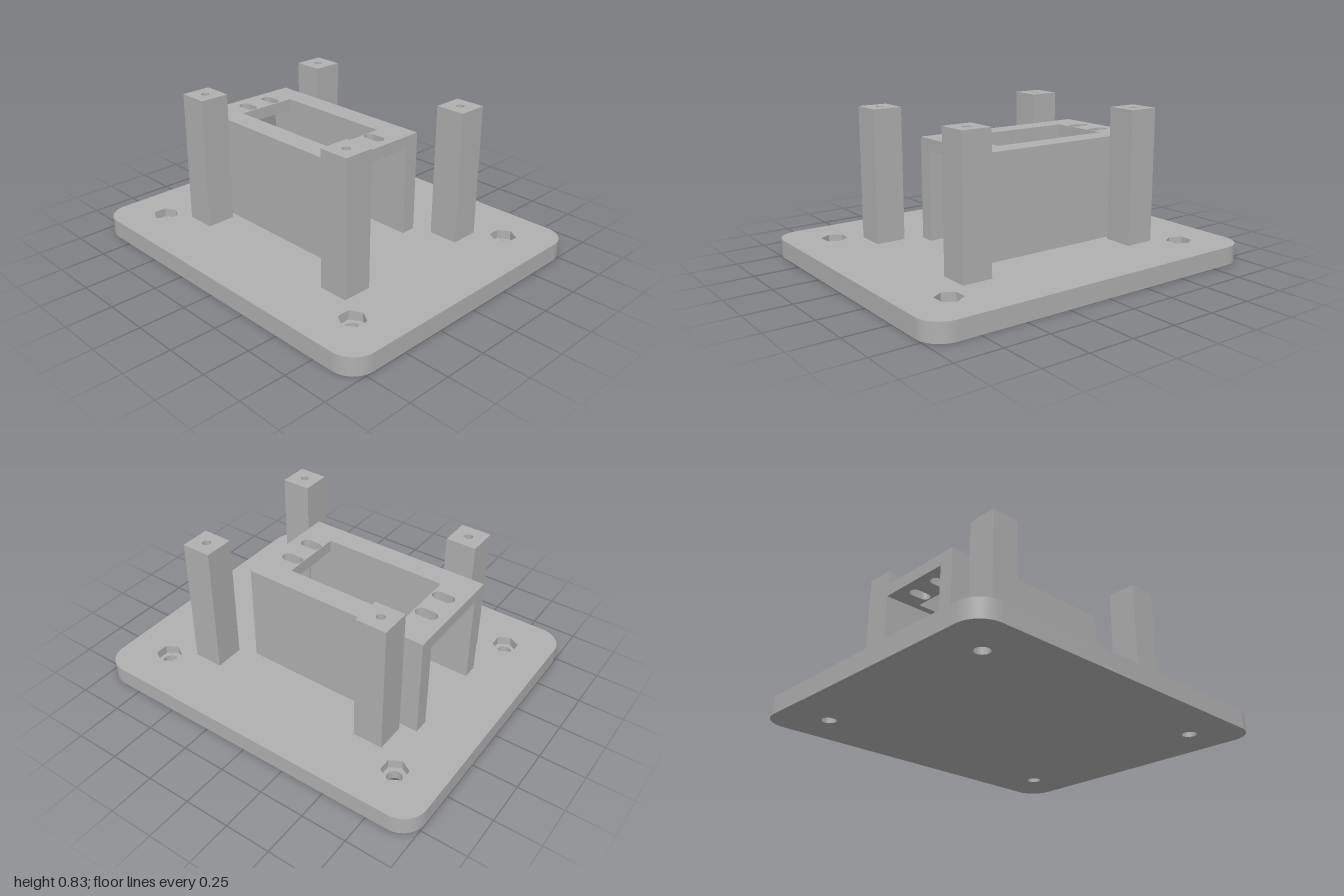
import * as THREE from 'three';
import { toCreasedNormals } from 'three/addons/utils/BufferGeometryUtils.js';

const grey = new THREE.MeshStandardMaterial({ color: 0xb0b0b0 });
grey.name = 'plain grey';

// Outlines in plan; each works as a solid outline or as a hole
function roundedRect(shape, x0, x1, z0, z1, r) {
  shape.moveTo(x0 + r, z0);
  shape.lineTo(x1 - r, z0);
  shape.absarc(x1 - r, z0 + r, r, -Math.PI / 2, 0);
  shape.lineTo(x1, z1 - r);
  shape.absarc(x1 - r, z1 - r, r, 0, Math.PI / 2);
  shape.lineTo(x0 + r, z1);
  shape.absarc(x0 + r, z1 - r, r, Math.PI / 2, Math.PI);
  shape.lineTo(x0, z0 + r);
  shape.absarc(x0 + r, z0 + r, r, Math.PI, Math.PI * 1.5);
  return shape;
}

function polygon(shape, points) {
  return shape.setFromPoints(points.map(([x, z]) => new THREE.Vector2(x, z)));
}

const rect = (shape, x0, x1, z0, z1) =>
  polygon(shape, [[x0, z0], [x1, z0], [x1, z1], [x0, z1]]);

const circle = (x, z, r) => new THREE.Path().absarc(x, z, r, 0, Math.PI * 2);

function hexagon(x, z, r) {
  const points = [];
  for (let i = 0; i < 6; i++) {
    const a = Math.PI / 2 + (i * Math.PI) / 3;
    points.push([x + r * Math.cos(a), z + r * Math.sin(a)]);
  }
  return polygon(new THREE.Path(), points);
}

// Raise a plan outline from y0 to y1
function slab(name, shape, y0, y1) {
  const raw = new THREE.ExtrudeGeometry(shape, { depth: y1 - y0, bevelEnabled: false, curveSegments: 16 });
  raw.rotateX(-Math.PI / 2).translate(0, y0, 0);
  const mesh = new THREE.Mesh(toCreasedNormals(raw, 0.6), grey);
  mesh.name = name;
  return mesh;
}

function box(name, x0, x1, y0, y1, z0, z1) {
  const mesh = new THREE.Mesh(new THREE.BoxGeometry(x1 - x0, y1 - y0, z1 - z0), grey);
  mesh.position.set((x0 + x1) / 2, (y0 + y1) / 2, (z0 + z1) / 2);
  mesh.name = name;
  return mesh;
}

export function createModel() {
  const model = new THREE.Group();
  model.name = 'mountingBase';
  const corners = [[-1, -1], [1, -1], [1, 1], [-1, 1]];

  // Base plate: round screw holes below, hexagonal nut pockets above
  const lower = roundedRect(new THREE.Shape(), -1, 1, -0.833, 0.833, 0.133);
  const upper = roundedRect(new THREE.Shape(), -1, 1, -0.833, 0.833, 0.133);
  for (const [sx, sz] of corners) {
    lower.holes.push(circle(sx * 0.75, sz * 0.583, 0.04));
    upper.holes.push(hexagon(sx * 0.75, sz * 0.583, 0.071));
  }
  const plate = new THREE.Group();
  plate.name = 'basePlate';
  plate.add(slab('plateLower', lower, 0, 0.05), slab('plateUpper', upper, 0.05, 0.1));
  model.add(plate);

  // Four square posts with a blind screw hole in the top
  for (const [sx, sz] of corners) {
    const x = sx * 0.533, z = sz * 0.415, h = 0.083;
    const post = new THREE.Group();
    post.name = (sz > 0 ? 'front' : 'back') + (sx > 0 ? 'Left' : 'Right') + 'Post';
    const top = rect(new THREE.Shape(), x - h, x + h, -z - h, -z + h);
    top.holes.push(circle(x, -z, 0.022));
    post.add(
      box('postShaft', x - h, x + h, 0.1, 0.667, z - h, z + h),
      slab('postTop', top, 0.667, 0.833)
    );
    model.add(post);
  }

  // Bridge: two walls under a roof with a window and four slots
  const bridge = new THREE.Group();
  bridge.name = 'bridge';
  const roof = rect(new THREE.Shape(), -0.7, 0.35, -0.3, 0.3);
  roof.holes.push(rect(new THREE.Path(), -0.52, 0.177, -0.175, 0.175));
  for (const x of [-0.588, 0.241]) {
    for (const z of [-0.083, 0.083]) {
      roof.holes.push(roundedRect(new THREE.Path(), x - 0.061, x + 0.061, z - 0.032, z + 0.032, 0.0319));
    }
  }
  bridge.add(
    slab('bridgeRoof', roof, 0.6, 0.667),
    box('frontWall', -0.7, 0.35, 0.1, 0.6, 0.215, 0.3),
    box('backWall', -0.7, 0.35, 0.1, 0.6, -0.3, -0.215)
  );
  model.add(bridge);

  return model;
}
